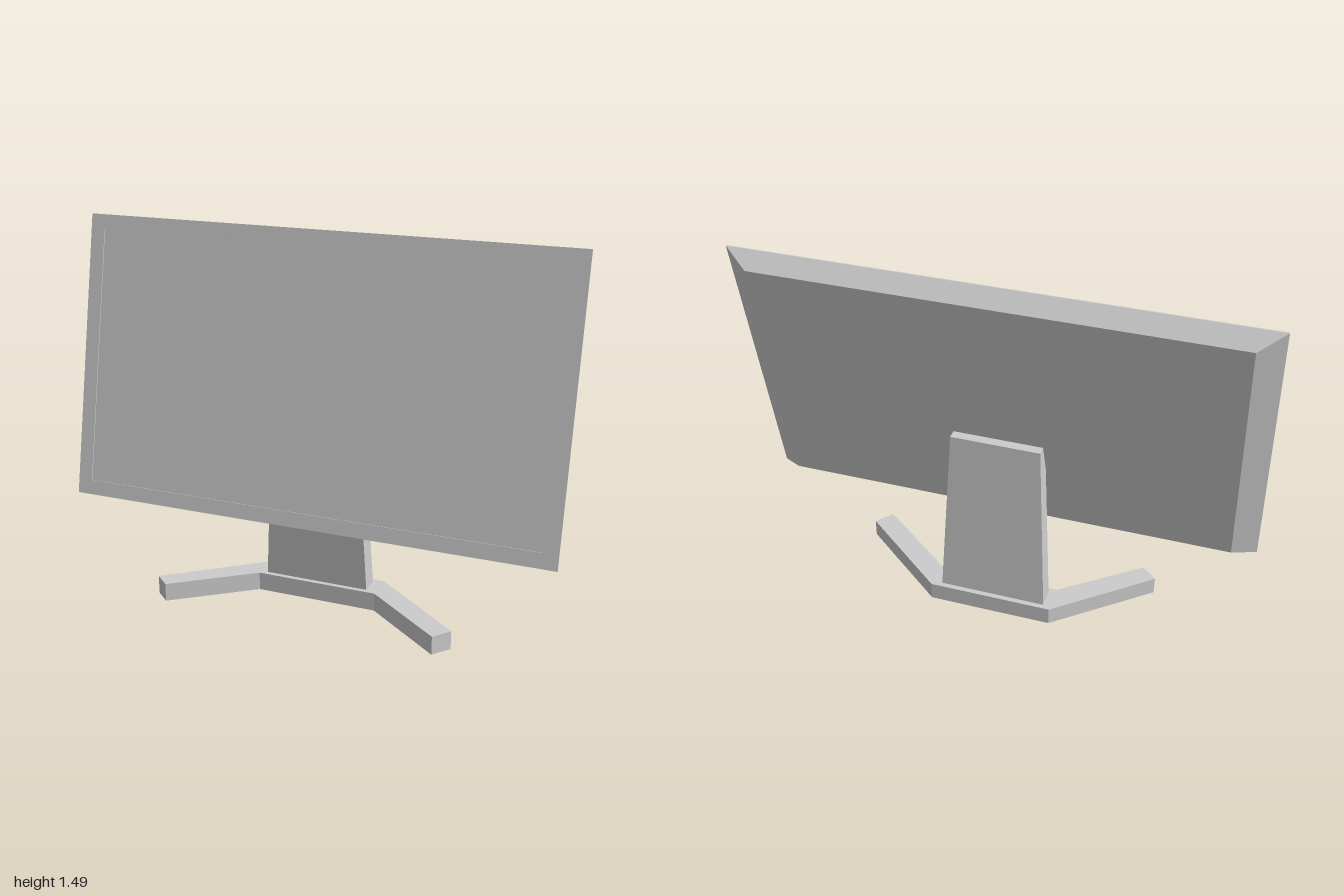
import * as THREE from 'three';

const material = new THREE.MeshStandardMaterial({ color: 0xcccccc, flatShading: true });

function part(name, geometry) {
  const mesh = new THREE.Mesh(geometry, material);
  mesh.name = name;
  return mesh;
}

// Unit box whose vertices are moved by a rule
function shapedBox(rule) {
  const geometry = new THREE.BoxGeometry(1, 1, 1).toNonIndexed();
  const pos = geometry.attributes.position;
  const v = new THREE.Vector3();
  for (let i = 0; i < pos.count; i++) {
    rule(v.fromBufferAttribute(pos, i));
    pos.setXYZ(i, v.x, v.y, v.z);
  }
  geometry.computeVertexNormals();
  return geometry;
}

function rectPoints(halfW, halfH) {
  return [[-halfW, -halfH], [halfW, -halfH], [halfW, halfH], [-halfW, halfH]]
    .map(([x, y]) => new THREE.Vector2(x, y));
}

export function createModel() {
  const model = new THREE.Group();
  model.name = 'monitor';

  // Tilted display, origin at the middle of its front face
  const display = new THREE.Group();
  display.name = 'display';
  display.position.set(0, 0.932, -0.025);
  display.rotation.x = -0.2017;
  model.add(display);

  const halfW = 1, halfH = 0.574, step = 0.004, depth = 0.068;

  // Thin bezel around the sunken screen
  const frame = new THREE.Shape(rectPoints(halfW, halfH));
  frame.holes.push(new THREE.Path(rectPoints(halfW - 0.06, halfH - 0.06)));
  const bezel = part('bezel', new THREE.ExtrudeGeometry(frame, { depth: step, bevelEnabled: false }));
  bezel.position.z = -step;
  display.add(bezel);

  // Screen and housing, narrowing towards the back
  display.add(part('screenHousing', shapedBox(v => {
    const front = v.z > 0;
    v.x *= 2 * (front ? halfW : 0.907);
    v.y *= 2 * (front ? halfH : 0.526);
    v.z = front ? -step : -depth;
  })));

  // Tapered neck, leaning into the back of the display
  model.add(part('neck', shapedBox(v => {
    const top = v.y > 0, front = v.z > 0;
    v.x = v.x * (top ? 0.355 : 0.432) + 0.004;
    v.y = top ? 0.797 : 0.07;
    v.z = front ? (top ? -0.037 : -0.07) : (top ? -0.105 : -0.15);
  })));

  // Base: a straight middle with two splayed feet, outlined as x, z
  const outline = [
    [-0.24, -0.17], [0.26, -0.17], [0.63, 0.132], [0.575, 0.2],
    [0.26, -0.05], [-0.24, -0.05], [-0.55, 0.19], [-0.61, 0.135],
  ].map(([x, z]) => new THREE.Vector2(x, -z));
  const baseGeometry = new THREE.ExtrudeGeometry(new THREE.Shape(outline), { depth: 0.075, bevelEnabled: false });
  baseGeometry.rotateX(-Math.PI / 2);
  model.add(part('base', baseGeometry));

  return model;
}
